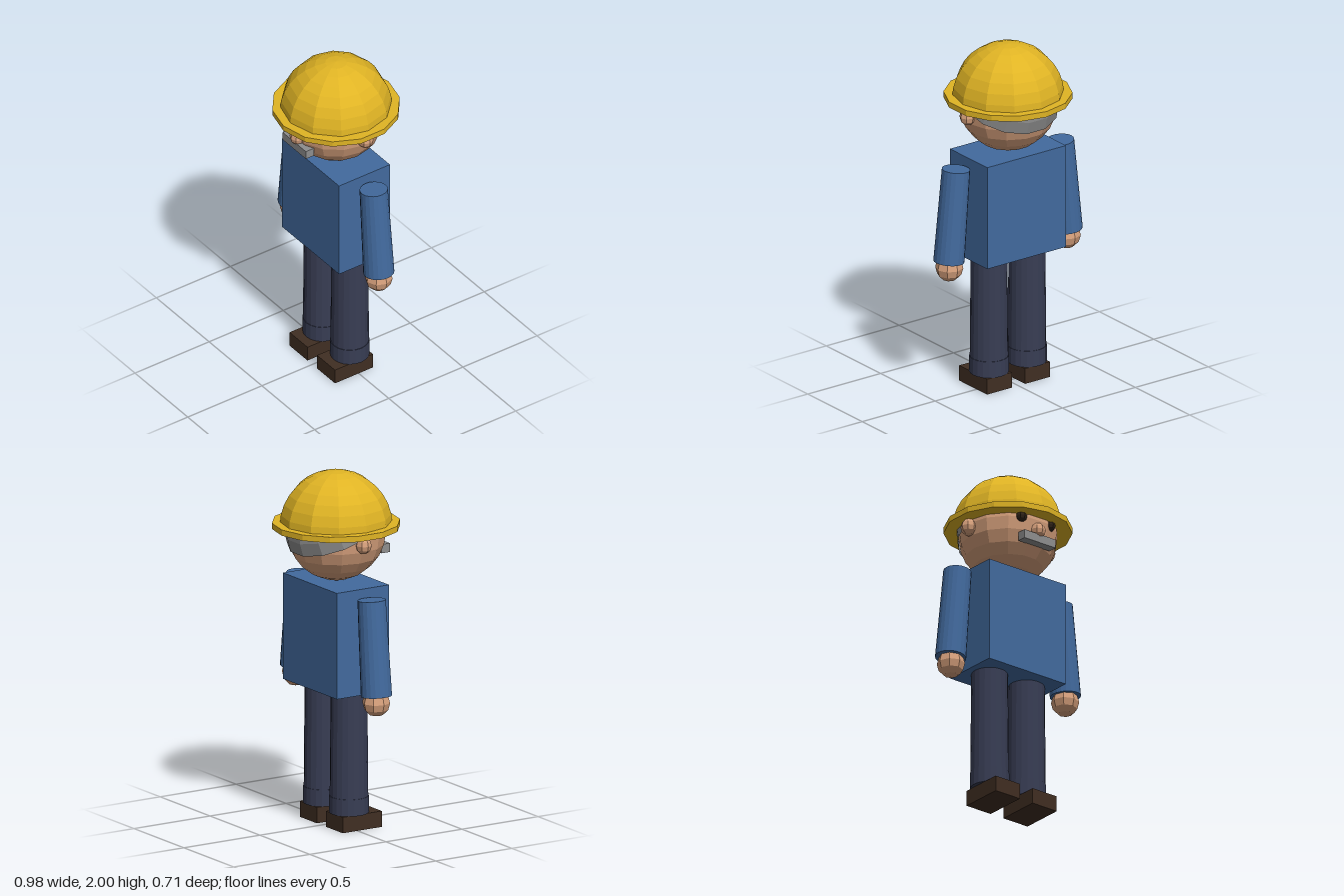
import * as THREE from 'three';

const mat = (name, color, extra = {}) => {
  const m = new THREE.MeshStandardMaterial({ color, flatShading: true, ...extra });
  m.name = name;
  return m;
};

export function createModel() {
  const helmetGold = mat('helmet gold', 0xe0b424);
  const skin = mat('skin', 0xd6a07c);
  const shirtBlue = mat('shirt blue', 0x426a9e);
  const trouserNavy = mat('trouser navy', 0x383d54);
  const shoeBrown = mat('shoe brown', 0x402e22);
  const hairGrey = mat('hair grey', 0x8e8e8e, { side: THREE.DoubleSide });
  const eyeDark = mat('eye dark', 0x2e2218);

  const model = new THREE.Group();
  model.name = 'worker';
  const add = (name, geometry, material, x, y, z) => {
    const mesh = new THREE.Mesh(geometry, material);
    mesh.name = name;
    mesh.position.set(x, y, z);
    model.add(mesh);
    return mesh;
  };
  const box = (w, h, d) => new THREE.BoxGeometry(w, h, d);
  const ball = (r, w = 8, h = 6) => new THREE.SphereGeometry(r, w, h);
  const tube = (top, bottom, h, n = 20) => new THREE.CylinderGeometry(top, bottom, h, n);
  const halfBall = (r, w, h) => new THREE.SphereGeometry(r, w, h, 0, Math.PI * 2, 0, Math.PI / 2);

  // Body and head
  add('torso', box(0.54, 0.602, 0.343), shirtBlue, 0, 1.084, 0);
  add('head', ball(0.275, 14, 12), skin, 0, 1.66, 0);
  add('nose', ball(0.045), skin, 0, 1.6, 0.26);
  add('moustache', box(0.22, 0.05, 0.055), hairGrey, 0, 1.546, 0.254);

  // Hair cap, tipped back towards the nape
  add('hair', halfBall(0.286, 14, 6), hairGrey, 0, 1.67, 0).rotation.x = -0.4;

  // Hard hat
  add('helmetDome', halfBall(0.31, 12, 8), helmetGold, 0, 1.69, 0);
  add('helmetBrim', tube(0.355, 0.355, 0.033, 14), helmetGold, 0, 1.696, 0);

  // Paired parts
  for (const [side, s] of [['left', 1], ['right', -1]]) {
    add(side + 'Eye', ball(0.033), eyeDark, s * 0.1, 1.665, 0.24);
    add(side + 'Ear', ball(0.05), skin, s * 0.274, 1.635, 0).scale.z = 0.9;
    add(side + 'Arm', tube(0.078, 0.086, 0.537), shirtBlue, s * 0.381, 1.075, 0).rotation.z = s * 0.09;
    add(side + 'Hand', ball(0.078), skin, s * 0.403, 0.77, 0);
    add(side + 'Leg', tube(0.101, 0.107, 0.7), trouserNavy, s * 0.13, 0.441, 0);
    add(side + 'Cuff', tube(0.109, 0.109, 0.095), trouserNavy, s * 0.13, 0.1375, 0);
    add(side + 'Shoe', box(0.17, 0.09, 0.256), shoeBrown, s * 0.13, 0.045, 0.032);
  }
  return model;
}
